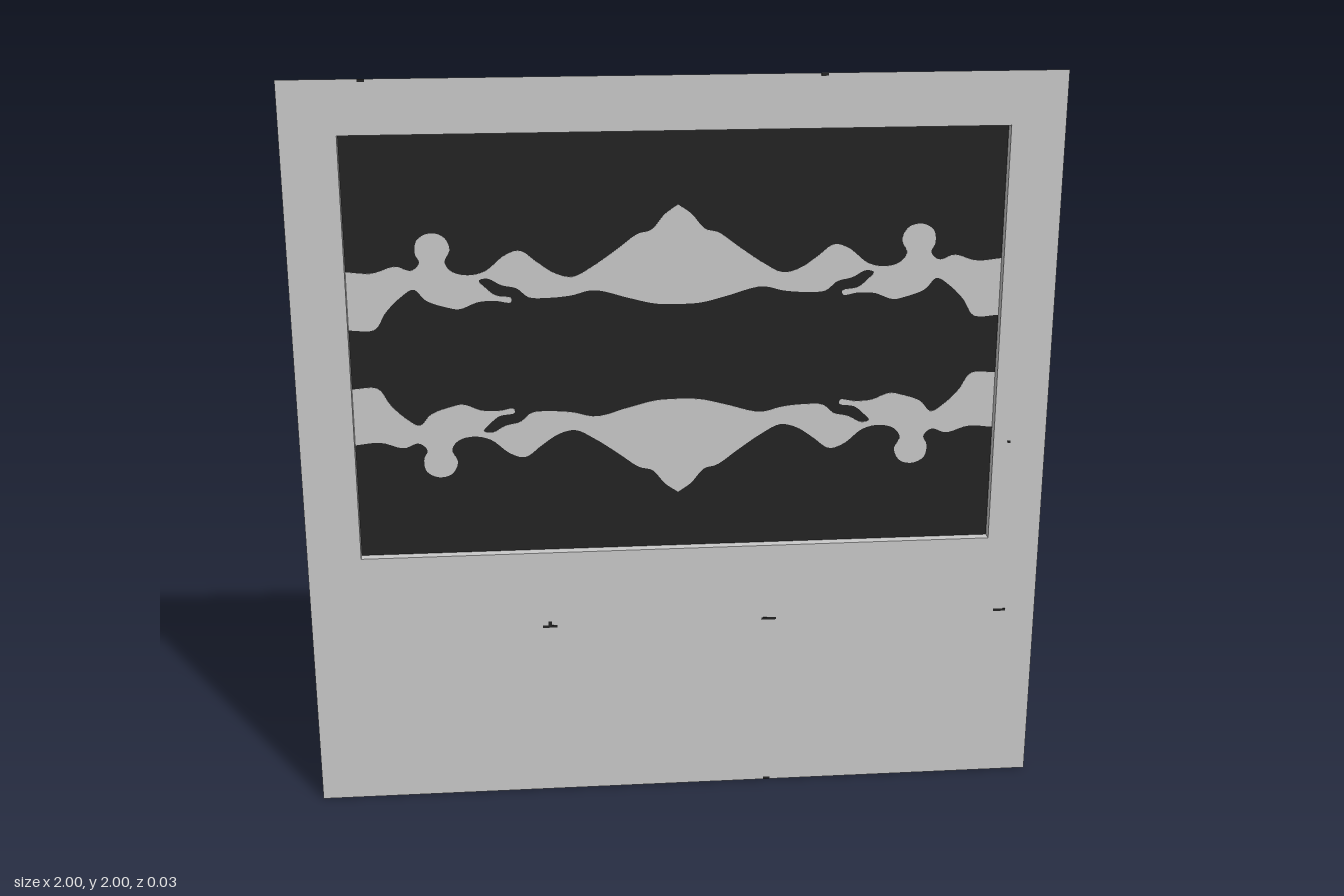
import * as THREE from 'three';

const light = new THREE.MeshStandardMaterial({ color: 0xc9c9c9, side: THREE.DoubleSide });
light.name = 'light grey';
const dark = new THREE.MeshStandardMaterial({ color: 0x222222, side: THREE.DoubleSide });
dark.name = 'near black';

const HALF_W = 0.857, LOW = 0.72, HIGH = 1.86; // window opening
const FRONT = 0.0135, BACK = -0.0135;
const MID = 1.27; // mirror line of the two bands

// Right half of the band's upper edge, from the centre outwards
const upperEdge = [
  [0, 1.665], [0.035, 1.64], [0.07, 1.6], [0.105, 1.59], [0.16, 1.55], [0.225, 1.505], [0.275, 1.48],
  [0.32, 1.49], [0.365, 1.52], [0.41, 1.552], [0.45, 1.54], [0.5, 1.5], [0.545, 1.49], [0.585, 1.5],
  [0.603, 1.525], [0.589, 1.56], [0.605, 1.593], [0.64, 1.602], [0.672, 1.585], [0.678, 1.55],
  [0.668, 1.525], [0.69, 1.505], [0.73, 1.517], [0.79, 1.5], [HALF_W, 1.505],
];
// Right half of the lower edge, from the outside back to the centre, with the narrow slit
const lowerEdge = [
  [HALF_W, 1.35], [0.79, 1.35], [0.76, 1.395], [0.72, 1.435], [0.685, 1.455], [0.655, 1.425], [0.6, 1.405],
  [0.57, 1.4], [0.52, 1.418], [0.475, 1.42], [0.437, 1.415], [0.435, 1.427], [0.475, 1.435], [0.5, 1.455],
  [0.517, 1.475], [0.495, 1.48], [0.46, 1.462], [0.42, 1.452], [0.39, 1.428], [0.34, 1.425], [0.28, 1.43],
  [0.22, 1.443], [0.13, 1.42], [0.06, 1.403], [0, 1.4],
];

function smooth(points) {
  const curve = new THREE.CatmullRomCurve3(points.map(([x, y]) => new THREE.Vector3(x, y, 0)));
  return curve.getPoints(points.length * 4).map((p) => new THREE.Vector2(p.x, p.y));
}

function rectangle(Type, x0, y0, x1, y1) {
  return new Type([[x0, y0], [x1, y0], [x1, y1], [x0, y1]].map(([x, y]) => new THREE.Vector2(x, y)));
}

export function createModel() {
  const group = new THREE.Group();
  const add = (name, geometry, material, x = 0, y = 0, z = 0) => {
    const mesh = new THREE.Mesh(geometry, material);
    mesh.name = name;
    mesh.position.set(x, y, z);
    group.add(mesh);
    return mesh;
  };

  // Thin square sheet with a window
  const sheet = rectangle(THREE.Shape, -1, 0, 1, 2);
  sheet.holes.push(rectangle(THREE.Path, -HALF_W, LOW, HALF_W, HIGH));
  add('sheet', new THREE.ShapeGeometry(sheet), light, 0, 0, FRONT);

  // Shallow walls running back from the window
  const depth = FRONT - BACK, height = HIGH - LOW;
  for (const s of [-1, 1]) {
    add('sideWall', new THREE.PlaneGeometry(depth, height), light, s * HALF_W, MID + 0.02, 0)
      .rotation.y = s * Math.PI / 2;
    add('edgeWall', new THREE.PlaneGeometry(HALF_W * 2, depth), light, 0, s > 0 ? HIGH : LOW, 0)
      .rotation.x = -s * Math.PI / 2;
  }

  // Recessed dark panel
  add('panel', new THREE.PlaneGeometry(HALF_W * 2, height), dark, 0, (LOW + HIGH) / 2, BACK);

  // Light bands seen on both faces of the panel, one the reflection of the other
  const right = [...smooth(upperEdge), ...smooth(lowerEdge)];
  const left = right.slice(1, -1).reverse().map((p) => new THREE.Vector2(-p.x, p.y));
  const outline = [...right, ...left];
  for (const flip of [false, true]) {
    const points = outline.map((p) => new THREE.Vector2(p.x, flip ? 2 * MID - p.y : p.y));
    const band = new THREE.ExtrudeGeometry(new THREE.Shape(points), { depth: 0.002, bevelEnabled: false });
    add(flip ? 'lowerBand' : 'upperBand', band, light, 0, 0, BACK - 0.001);
  }

  // Tiny dark specks on the sheet: x, y, width
  const specks = [
    [-0.355, 0.502, 0.04], [0.25, 0.502, 0.04], [0.9, 0.502, 0.035], [0.9, 1, 0.008],
    [-0.79, 1.996, 0.018], [0.37, 1.996, 0.018], [0.25, 0.004, 0.018],
  ];
  for (const [x, y, w] of specks) add('speck', new THREE.BoxGeometry(w, 0.007, 0.002), dark, x, y, FRONT);
  add('speck', new THREE.BoxGeometry(0.01, 0.018, 0.002), dark, -0.355, 0.508, FRONT);

  return group;
}
